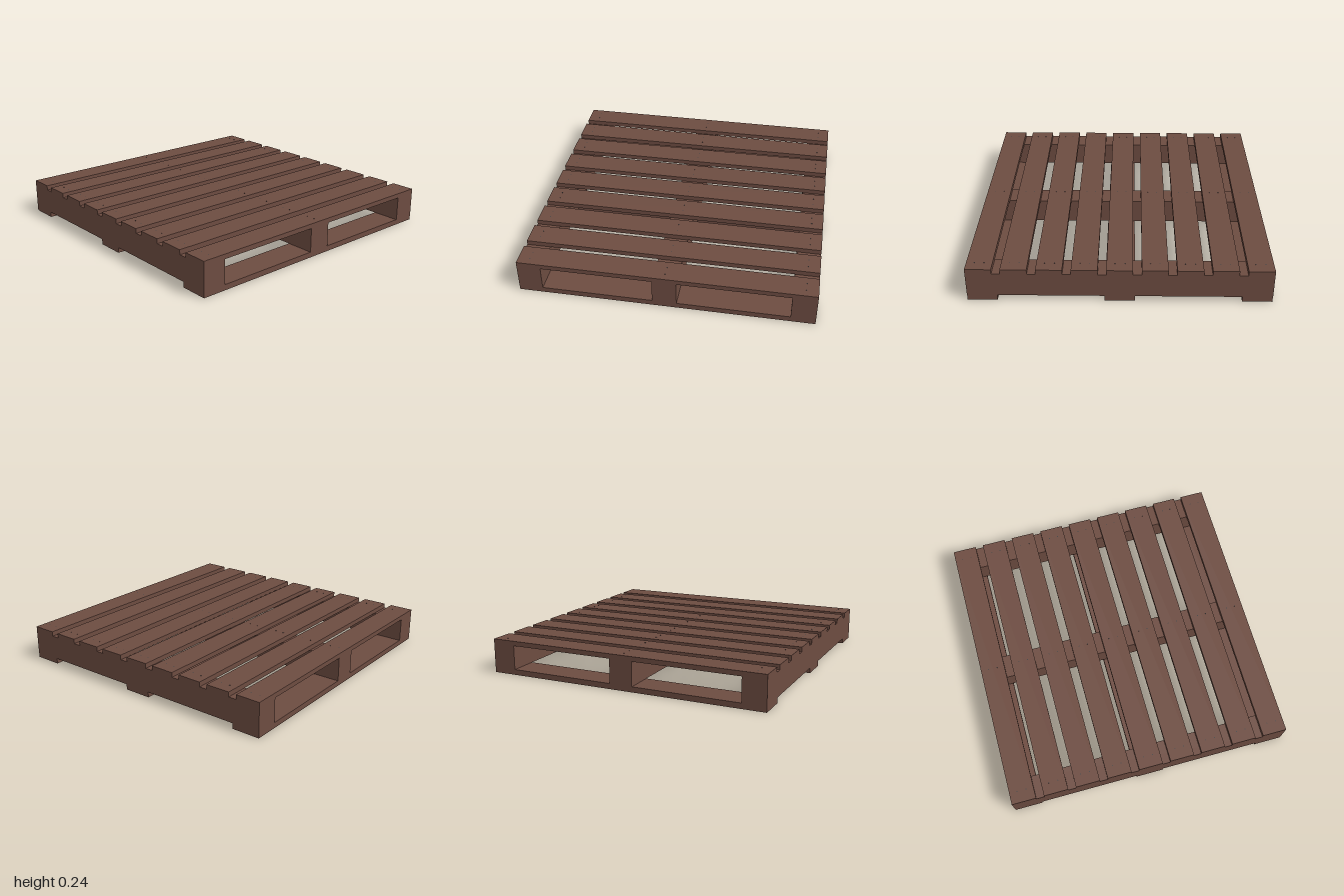
import * as THREE from 'three';

const wood = new THREE.MeshStandardMaterial({ color: 0x6d4c41 });
wood.name = 'brown wood';
const steel = new THREE.MeshStandardMaterial({ color: 0x424242 });
steel.name = 'dark nail steel';

// Heights of the three layers
const BASE_TOP = 0.038, STRINGER_TOP = 0.207, DECK_TOP = 0.24;

function board(name, width, depth, bottom, top, x, z) {
  const mesh = new THREE.Mesh(new THREE.BoxGeometry(width, top - bottom, depth), wood);
  mesh.name = name;
  mesh.position.set(x, (bottom + top) / 2, z);
  return mesh;
}

export function createModel() {
  const pallet = new THREE.Group();
  pallet.name = 'pallet';

  // Three boards on the ground
  for (const z of [-0.9, 0, 0.9]) {
    pallet.add(board('bottomBoard', 2, 0.198, 0, BASE_TOP, 0, z));
  }

  // Three solid stringers running front to back
  for (const x of [-0.918, 0, 0.918]) {
    pallet.add(board('stringer', 0.164, 2, BASE_TOP, STRINGER_TOP, x, 0));
  }

  // Nine deck slats, each with a pair of nails over every stringer
  const slatDepth = 0.172;
  const nailGeometry = new THREE.CylinderGeometry(0.004, 0.004, 0.004, 8);
  for (let i = 0; i < 9; i++) {
    const z = (i - 4) * (2 - slatDepth) / 8;
    pallet.add(board('deckSlat', 2, slatDepth, STRINGER_TOP, DECK_TOP, 0, z));
    for (const x of [-0.92, 0, 0.92]) {
      for (const side of [-1, 1]) {
        const nail = new THREE.Mesh(nailGeometry, steel);
        nail.name = 'nailHead';
        nail.position.set(x, DECK_TOP - 0.001, z + side * 0.032);
        pallet.add(nail);
      }
    }
  }
  return pallet;
}
